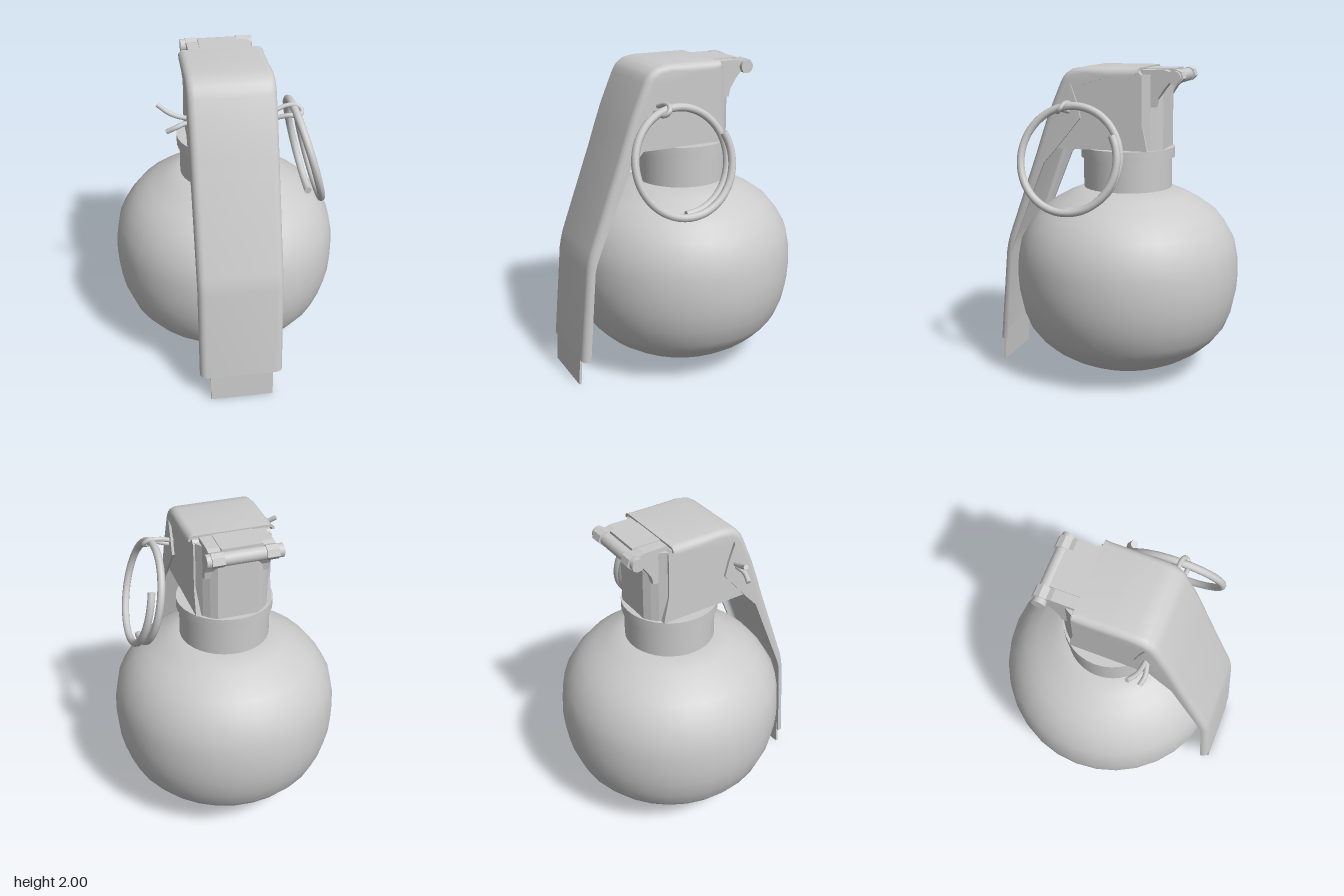
import * as THREE from 'three';
import { toCreasedNormals } from 'three/addons/utils/BufferGeometryUtils.js';

const mat = new THREE.MeshStandardMaterial({ color: 0xcccccc });
const matDouble = new THREE.MeshStandardMaterial({ color: 0xcccccc, side: THREE.DoubleSide });
const AXIS_Z = -0.053; // vertical axis of body and neck

function add(group, name, geometry, material = mat) {
  const mesh = new THREE.Mesh(geometry, material);
  mesh.name = name;
  group.add(mesh);
  return mesh;
}

// Side outline in (z, y), extruded from x0 to x1
function sideExtrude(points, x0, x1) {
  const shape = new THREE.Shape(points.map(p => new THREE.Vector2(...p)));
  const geo = new THREE.ExtrudeGeometry(shape, { depth: x1 - x0, bevelEnabled: false });
  return geo.rotateY(-Math.PI / 2).translate(x1, 0, 0);
}

function lathe(points, segments, crease) {
  const geo = new THREE.LatheGeometry(points.map(p => new THREE.Vector2(...p)), segments);
  geo.translate(0, 0, AXIS_Z);
  return crease ? toCreasedNormals(geo, crease) : geo;
}

// Round wire with closed ends
function wire(group, name, points, radius, steps, sides = 10) {
  const curve = new THREE.CatmullRomCurve3(points.map(p => new THREE.Vector3(...p)));
  const part = new THREE.Group();
  part.name = name;
  add(part, name + 'Wire', new THREE.TubeGeometry(curve, steps, radius, sides));
  for (const [t, sign] of [[0, -1], [1, 1]]) {
    const cap = add(part, name + 'End', new THREE.CircleGeometry(radius, sides));
    const end = curve.getPoint(t);
    cap.position.copy(end);
    cap.lookAt(end.clone().addScaledVector(curve.getTangent(t), sign));
  }
  group.add(part);
}

// Rounded channel swept through stations: [outer z, outer y, flange edge z, flange edge y]
function channel(stations, halfWidth, thickness) {
  const pos = [], index = [], arc = 5;
  for (const [oz, oy, ez, ey] of stations) {
    const depth = Math.hypot(ez - oz, ey - oy);
    const dz = (ez - oz) / depth, dy = (ey - oy) / depth;
    const r = Math.min(0.045, depth * 0.95);
    const half = inset => {
      const pts = [[-halfWidth + inset, depth]];
      for (let i = 0; i <= arc; i++) {
        const a = (i / arc) * Math.PI / 2;
        pts.push([-halfWidth + r - (r - inset) * Math.cos(a), r - (r - inset) * Math.sin(a)]);
      }
      return pts.concat(pts.map(([x, d]) => [-x, d]).reverse());
    };
    const loop = half(0).concat(half(thickness).reverse());
    for (const [x, d] of loop) pos.push(x, oy + dy * d, oz + dz * d);
  }
  const n = 4 * (arc + 2), last = (stations.length - 1) * n;
  for (let j = 0; j < last; j += n) {
    for (let i = 0; i < n; i++) {
      const k = (i + 1) % n;
      index.push(j + i, j + k, j + n + k, j + i, j + n + k, j + n + i);
    }
  }
  // End strips between the outer and inner skins
  for (let i = 0; i < n / 2 - 1; i++) {
    const a = i, b = i + 1, c = n - 2 - i, d = n - 1 - i;
    index.push(a, c, b, a, d, c);
    index.push(last + a, last + b, last + c, last + a, last + c, last + d);
  }
  const geo = new THREE.BufferGeometry();
  geo.setAttribute('position', new THREE.Float32BufferAttribute(pos, 3));
  geo.setIndex(index);
  return toCreasedNormals(geo, 0.6);
}

export function createModel() {
  const model = new THREE.Group();
  model.name = 'grenade';

  // Round body
  add(model, 'body', lathe([
    [0, 0.005], [0.1, 0.012], [0.2, 0.032], [0.35, 0.08], [0.44, 0.124], [0.525, 0.18], [0.6, 0.25],
    [0.65, 0.315], [0.695, 0.43], [0.718, 0.54], [0.726, 0.65], [0.72, 0.77], [0.697, 0.89], [0.64, 0.99],
    [0.575, 1.07], [0.49, 1.13], [0.39, 1.185], [0.285, 1.23], [0, 1.235],
  ], 32));

  // Neck and collar
  add(model, 'neck', lathe([[0.285, 1.18], [0.285, 1.43]], 36));
  add(model, 'collar', lathe([[0.28, 1.425], [0.302, 1.425], [0.302, 1.49], [0, 1.49]], 36, 0.6));

  // Fuze head under the lever
  add(model, 'fuzeHead', sideExtrude([
    [0.345, 1.488], [0.4, 1.56], [0.35, 1.74], [0.265, 1.93], [0.2, 1.97], [-0.19, 1.97],
    [-0.21, 1.95], [-0.21, 1.66], [-0.245, 1.488],
  ], -0.24, 0.24));

  // Narrower chamfered column at the back of the head
  const plan = [[0.235, 0.1], [0.235, 0.2], [0.2, 0.255], [0.165, 0.29], [0.125, 0.318]];
  const outline = plan.concat(plan.map(([x, y]) => [-x, y]).reverse());
  const column = new THREE.ExtrudeGeometry(
    new THREE.Shape(outline.map(p => new THREE.Vector2(...p))), { depth: 0.47, bevelEnabled: false });
  add(model, 'fuzeColumn', column.rotateX(-Math.PI / 2).translate(0, 1.488, 0));

  // Hinge ears, cross pin and lever tongue
  for (const side of [-1, 1]) {
    const inner = 0.125 * side, outer = 0.2 * side;
    add(model, 'hingeEar', sideExtrude([
      [-0.19, 1.985], [-0.34, 1.985], [-0.37, 1.975], [-0.41, 1.99], [-0.445, 1.975], [-0.46, 1.935],
      [-0.43, 1.905], [-0.38, 1.92], [-0.335, 1.865], [-0.3, 1.81], [-0.29, 1.76], [-0.19, 1.76],
    ], Math.min(inner, outer), Math.max(inner, outer)));
  }
  const pin = add(model, 'hingePin', new THREE.CylinderGeometry(0.041, 0.041, 0.46, 16));
  pin.rotation.z = Math.PI / 2;
  pin.position.set(-0.003, 1.942, -0.405);
  const tongue = add(model, 'leverTongue', new THREE.BoxGeometry(0.25, 0.02, 0.2));
  tongue.position.set(0, 1.98, -0.28);

  // Safety lever: bent channel with shaped flanges
  add(model, 'lever', channel([
    [0.772, 0.175, 0.719, 0.175], [0.716, 0.785, 0.67, 0.78], [0.706, 0.84, 0.656, 0.83],
    [0.69, 0.9, 0.637, 0.88], [0.49, 1.45, 0.427, 1.395], [0.448, 1.575, 0.342, 1.49],
    [0.4, 1.71, 0.178, 1.687], [0.353, 1.82, 0.205, 1.79], [0.318, 1.9, 0.241, 1.89],
    [0.3, 1.935, 0.238, 1.905], [0.279, 1.96, 0.225, 1.905], [0.236, 1.988, 0.167, 1.889],
    [0.167, 2, 0.1, 1.91], [-0.008, 2, -0.008, 1.942], [-0.16, 2, -0.162, 1.952],
    [-0.193, 1.998, -0.192, 1.965],
  ], 0.265, 0.016), matDouble);
  add(model, 'leverTip', sideExtrude(
    [[0.78, 0], [0.768, 0.21], [0.752, 0.21], [0.765, 0]], -0.2, 0.2));

  // Split pin: two strands with an eye on the left and spread ends on the right
  wire(model, 'splitPin', [
    [-0.43, 1.83, 0.2], [-0.36, 1.785, 0.235], [-0.27, 1.757, 0.25], [0, 1.755, 0.25],
    [0.25, 1.762, 0.24], [0.33, 1.785, 0.228], [0.4, 1.785, 0.232], [0.427, 1.755, 0.25],
    [0.4, 1.735, 0.275], [0.35, 1.745, 0.277], [0.25, 1.725, 0.258], [0, 1.733, 0.258],
    [-0.26, 1.73, 0.262], [-0.33, 1.71, 0.275], [-0.385, 1.68, 0.262],
  ], 0.015, 90, 8);

  // Tilted pull ring, coiled a little more than one turn
  const coil = [];
  for (let i = 0; i <= 48; i++) {
    const s = i / 48, a = s * THREE.MathUtils.degToRad(479);
    const y = 1.46 - 0.312 * Math.cos(a);
    coil.push([0.47 - (y - 1.46) * 0.26 - 0.04 + 0.08 * s, y, 0.178 - 0.312 * Math.sin(a)]);
  }
  wire(model, 'pullRing', coil, 0.024, 110);

  return model;
}
